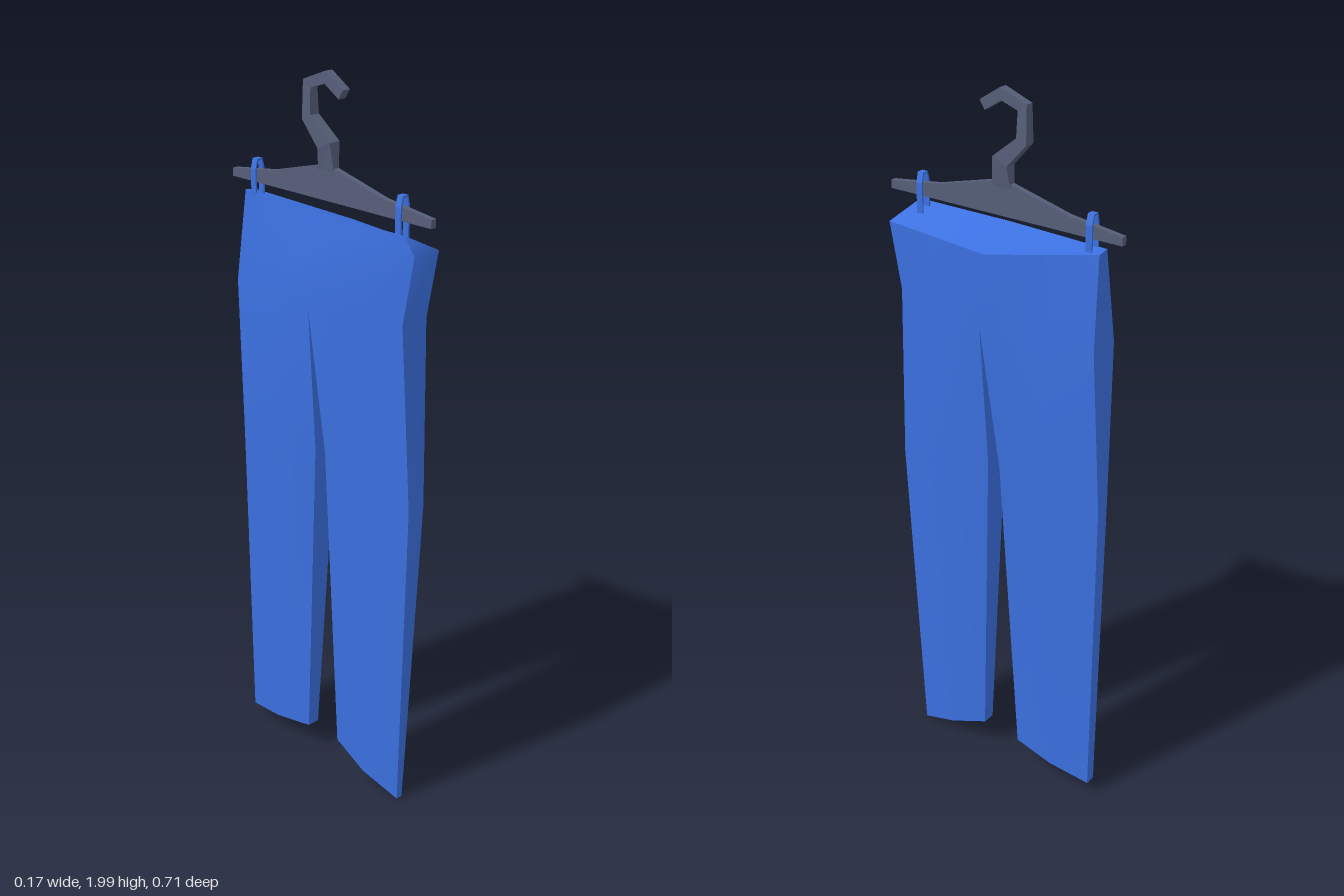
import * as THREE from 'three';
import { toCreasedNormals } from 'three/addons/utils/BufferGeometryUtils.js';

const BAR_X = -0.015;

// Joins successive closed rings (counter-clockwise seen from the far end) into triangles
function loft(rings, out) {
  for (let r = 0; r < rings.length - 1; r++) {
    const lo = rings[r], hi = rings[r + 1], n = lo.length;
    for (let i = 0; i < n; i++) {
      const j = (i + 1) % n;
      out.push(lo[i], lo[j], hi[j], lo[i], hi[j], hi[i]);
    }
  }
}

function toGeometry(tris) {
  const g = new THREE.BufferGeometry();
  g.setAttribute('position', new THREE.Float32BufferAttribute(tris.flat(), 3));
  g.computeVertexNormals();
  return g;
}

const mix = (a, b, t = 0.5) => a.map((v, i) => v + (b[i] - v) * t);

// Six-sided leg section: [outer-, outer+, mid+, inner+, inner-, mid-]
function legRing({ outer, inner, xo, xm, xi }) {
  const mz = (outer[0] + inner[0]) / 2, my = (outer[1] + inner[1]) / 2;
  return [
    [xo[0], outer[1], outer[0]], [xo[1], outer[1], outer[0]],
    [xm[1], my, mz], [xi[1], inner[1], inner[0]],
    [xi[0], inner[1], inner[0]], [xm[0], my, mz],
  ];
}

function trousersGeometry() {
  const tris = [];
  // Sections from hem to hip; outer and inner are [z, y], the rest are x ranges
  const front = [
    { outer: [0.275, 0.01], inner: [0.045, 0.10], xo: [-0.015, 0.005], xm: [-0.035, 0.022], xi: [-0.025, 0.012] },
    { outer: [0.315, 0.93], inner: [0.012, 1.0], xo: [-0.035, 0.02], xm: [-0.06, 0.045], xi: [-0.04, 0.035] },
    { outer: [0.29, 1.43], inner: [0, 1.41], xo: [-0.045, 0.04], xm: [-0.07, 0.066], xi: [-0.087, 0.085] },
  ].map(legRing);
  const back = [
    { outer: [-0.32, 0.05], inner: [-0.075, 0.09], xo: [-0.02, 0.01], xm: [-0.035, 0.022], xi: [-0.025, 0.012] },
    { outer: [-0.325, 0.95], inner: [-0.025, 1.0], xo: [-0.03, 0.01], xm: [-0.055, 0.04], xi: [-0.04, 0.035] },
    { outer: [-0.315, 1.41], inner: [0, 1.41], xo: [-0.05, 0.04], xm: [-0.07, 0.064], xi: [-0.087, 0.085] },
  ].map(legRing);
  loft(front, tris);
  loft(back.map(r => [...r].reverse()), tris);

  // Hip ring joins both legs, waist ring dips toward +x
  const f = front[2], b = back[2];
  const hip = [f[0], f[1], f[2], f[3], b[2], b[1], b[0], b[5], f[4], f[5]];
  const A = [-0.028, 1.655, -0.30], B = [-0.045, 1.655, 0], C = [-0.045, 1.655, 0.29];
  const D = [-0.045, 1.61, 0.325], E = [0.04, 1.61, 0.325];
  const F = [0.085, 1.61, -0.015], G = [0.006, 1.65, -0.30];
  const waist = [D, E, mix(E, F), F, mix(F, G), G, A, mix(A, B), B, C];
  loft([hip, waist], tris);

  // Sloping waist top, as a strip between the two sides
  const w = waist;
  const low = [w[1], w[2], w[3], w[4], w[5]], high = [w[0], w[9], w[8], w[7], w[6]];
  for (let i = 0; i < 4; i++) {
    tris.push(low[i], low[i + 1], high[i + 1], low[i], high[i + 1], high[i]);
  }
  return toCreasedNormals(toGeometry(tris), 0.9);
}

// Hook: rectangular section swept along an angular path in the z-y plane
function hookGeometry() {
  // z, y, half width in plane, half thickness in x
  const path = [
    [0, 1.74, 0.03, 0.006], [0, 1.82, 0.022, 0.017], [-0.064, 1.88, 0.015, 0.015],
    [-0.064, 1.962, 0.013, 0.012], [0, 1.985, 0.014, 0.012], [0.055, 1.95, 0.014, 0.012],
  ];
  const rings = path.map(([z, y, hw, hx], i) => {
    const p = path[Math.max(i - 1, 0)], q = path[Math.min(i + 1, path.length - 1)];
    const d1 = new THREE.Vector2(z - p[0], y - p[1]).normalize();
    const d2 = new THREE.Vector2(q[0] - z, q[1] - y).normalize();
    const t = d1.clone().add(d2).normalize();
    const m = hw / Math.max(0.6, Math.max(t.dot(d1), t.dot(d2)));
    const nz = t.y * m, ny = -t.x * m;
    return [[-hx, 1], [hx, 1], [hx, -1], [-hx, -1]]
      .map(([x, s]) => [BAR_X + x, y + s * ny, z + s * nz]);
  });
  const tris = [];
  loft(rings, tris);
  const [a, b, c, d] = rings[rings.length - 1];
  tris.push(a, b, c, a, c, d);
  return toGeometry(tris);
}

// Hanger bar: flat outline in the z-y plane, extruded through x
function barGeometry() {
  const t = 0.016;
  const shape = new THREE.Shape([
    [-0.355, 1.68], [0.355, 1.68], [0.355, 1.702], [0.2, 1.722], [0.03, 1.765],
    [-0.03, 1.765], [-0.2, 1.722], [-0.355, 1.702],
  ].map(p => new THREE.Vector2(...p)));
  const g = new THREE.ExtrudeGeometry(shape, { depth: t, bevelEnabled: false });
  g.translate(0, 0, -t / 2).rotateY(-Math.PI / 2).translate(BAR_X, 0, 0);
  return g;
}

// Hanging loop: a small band of fabric around the bar
function loopGeometry() {
  const d = 0.018;
  const band = k => [
    [-0.016 + k, 1.63], [0.016 - k, 1.63], [0.016 - k, 1.715],
    [0.009 - k / 2, 1.742 - k], [-0.009 + k / 2, 1.742 - k], [-0.016 + k, 1.715],
  ].map(p => new THREE.Vector2(...p));
  const shape = new THREE.Shape(band(0));
  shape.holes.push(new THREE.Path(band(0.005).map(p => new THREE.Vector2(p.x, Math.max(p.y, 1.635)))));
  const g = new THREE.ExtrudeGeometry(shape, { depth: d, bevelEnabled: false });
  g.translate(BAR_X, 0, -d / 2);
  return g;
}

export function createModel() {
  const group = new THREE.Group();
  group.name = 'trousersOnHanger';
  const fabric = new THREE.MeshStandardMaterial({ color: 0x3b70e0, side: THREE.DoubleSide });
  const plastic = new THREE.MeshStandardMaterial({ color: 0x555e78, flatShading: true });

  const add = (name, geometry, material) => {
    const mesh = new THREE.Mesh(geometry, material);
    mesh.name = name;
    group.add(mesh);
    return mesh;
  };

  add('trousers', trousersGeometry(), fabric);
  add('hangerBar', barGeometry(), plastic);
  add('hangerHook', hookGeometry(), plastic);
  const loop = loopGeometry();
  add('frontLoop', loop, fabric).position.z = 0.255;
  add('backLoop', loop, fabric).position.z = -0.265;
  return group;
}
